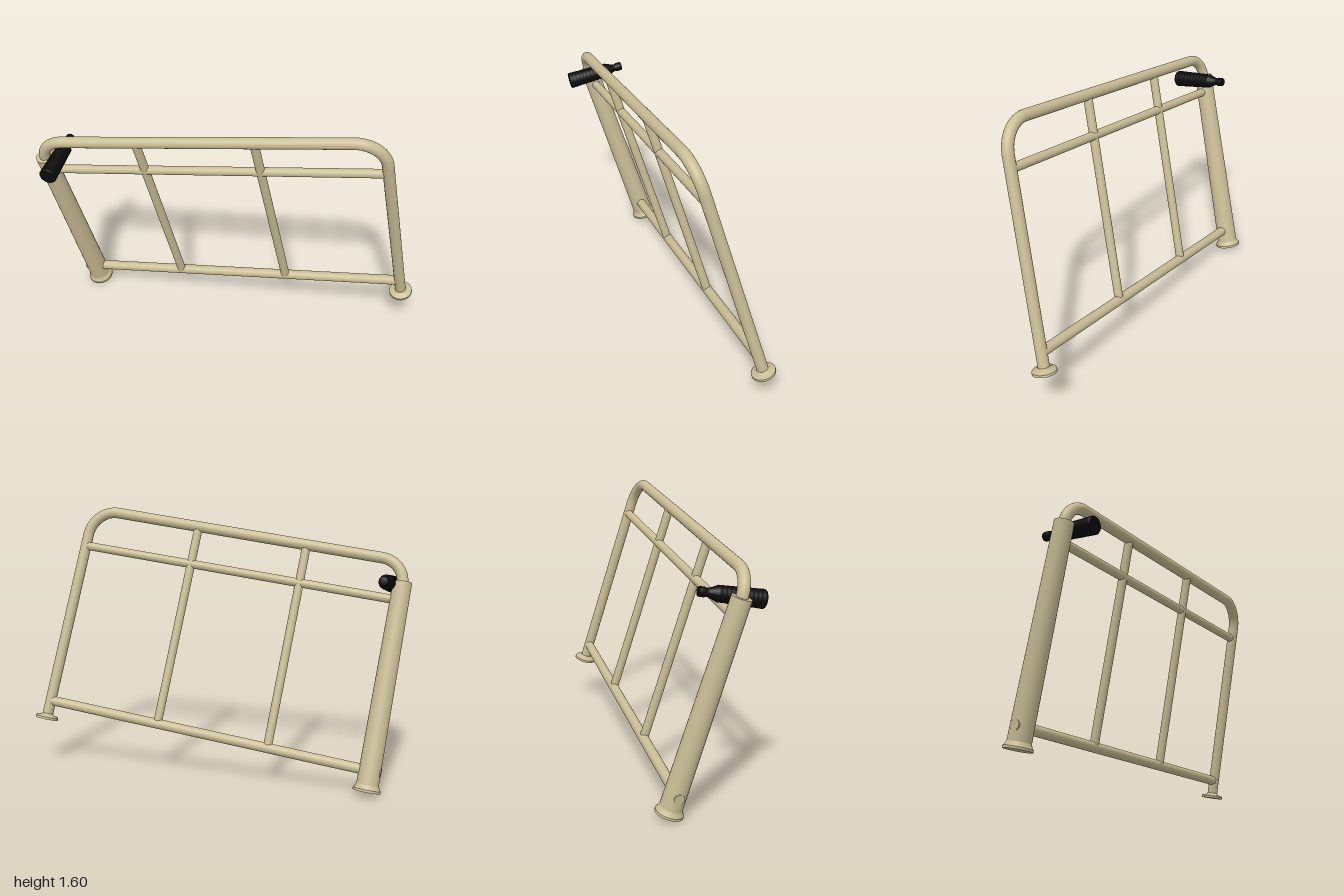
import * as THREE from 'three';

const paint = new THREE.MeshStandardMaterial({ color: 0xcabd94 });
paint.name = 'beige paint';
const rubber = new THREE.MeshStandardMaterial({ color: 0x0b0b0b });
rubber.name = 'black rubber';

const V = (x, y, z) => new THREE.Vector3(x, y, z);
const UP = V(0, 1, 0);

// Places a part whose own +y axis starts at a and points toward b
function aim(mesh, a, b) {
  mesh.position.copy(a);
  mesh.quaternion.setFromUnitVectors(UP, b.clone().sub(a).normalize());
  return mesh;
}

// Straight round bar from a to b, optionally tapered
function bar(name, a, b, r0, r1 = r0) {
  const length = a.distanceTo(b);
  const geo = new THREE.CylinderGeometry(r1, r0, length, 28);
  geo.translate(0, length / 2, 0);
  const mesh = new THREE.Mesh(geo, paint);
  mesh.name = name;
  return aim(mesh, a, b);
}

// Turned part: profile of [radius, height] pairs along the line a to b
function turned(name, profile, a, b, material) {
  const geo = new THREE.LatheGeometry(profile.map(([r, h]) => new THREE.Vector2(r, h)), 32);
  const mesh = new THREE.Mesh(geo, material);
  mesh.name = name;
  return aim(mesh, a, b);
}

// Flared foot plate
function foot(name, a, b, r, neck, rise) {
  return turned(name, [[0, 0], [r, 0], [r, 0], [r, 0.014], [r, 0.014], [r * 0.92, 0.02],
    [neck + 0.006, rise * 0.7], [neck, rise]], a, b, paint);
}

export function createModel() {
  const gate = new THREE.Group();
  gate.name = 'tiltedGate';

  // Main corners of the leaning frame
  const postBase = V(-0.92, 0.023, 0.222), postTop = V(-0.896, 1.2, 0.577);
  const cornerL = V(-0.893, 1.315, 0.61), cornerR = V(0.892, 1.594, -0.222);
  const legBase = V(0.928, 0.288, -0.63);

  // Thick post and its foot
  gate.add(bar('post', postBase, postTop, 0.065, 0.055));
  gate.add(foot('postFoot', postBase, postTop, 0.08, 0.065, 0.04));
  gate.add(foot('legFoot', legBase, cornerR, 0.07, 0.033, 0.035));

  // Bent tube: out of the post, along the top, down the far leg
  const toward = (a, b, d) => a.clone().add(b.clone().sub(a).setLength(d));
  const path = new THREE.CurvePath();
  const bend = (from, corner, to) => new THREE.CubicBezierCurve3(from,
    from.clone().lerp(corner, 0.56), to.clone().lerp(corner, 0.56), to);
  const start = toward(postTop, postBase, 0.1);
  const l0 = toward(cornerL, postTop, 0.13), l1 = toward(cornerL, cornerR, 0.14);
  const r0 = toward(cornerR, cornerL, 0.17), r1 = toward(cornerR, legBase, 0.17);
  path.add(new THREE.LineCurve3(start, l0));
  path.add(bend(l0, cornerL, l1));
  path.add(new THREE.LineCurve3(l1, r0));
  path.add(bend(r0, cornerR, r1));
  path.add(new THREE.LineCurve3(r1, legBase));
  const hoop = new THREE.Mesh(new THREE.TubeGeometry(path, 180, 0.033, 24), paint);
  hoop.name = 'topRailAndLeg';
  gate.add(hoop);

  // Cross rails
  gate.add(bar('middleRail', V(-0.895, 1.095, 0.545), V(0.898, 1.366, -0.297), 0.026));
  gate.add(bar('bottomRail', V(-0.975, 0.129, 0.285), V(0.924, 0.402, -0.597), 0.03));

  // Upright bars
  [[V(-0.362, 0.217, 0.003), V(-0.36, 1.398, 0.362)],
    [V(0.27, 0.308, -0.29), V(0.256, 1.494, 0.074)]]
    .forEach(([a, b], i) => gate.add(bar('upright' + (i + 1), a, b, 0.026)));

  // Ribbed hand grip with a narrow neck
  const profile = [[0, 0], [0.047, 0], [0.047, 0]];
  for (let i = 0; i <= 10; i++) {
    const h = 0.006 + i * 0.0235, r = 0.051 - i * 0.0007;
    profile.push([r, h], [r, h + 0.014], [r - 0.003, h + 0.018]);
  }
  profile.push([0.024, 0.3], [0.022, 0.315], [0.027, 0.322], [0.027, 0.35], [0.024, 0.357], [0, 0.357]);
  gate.add(turned('handGrip', profile, V(-0.768, 1.165, 0.685), V(-0.9, 1.224, 0.36), rubber));

  return gate;
}
